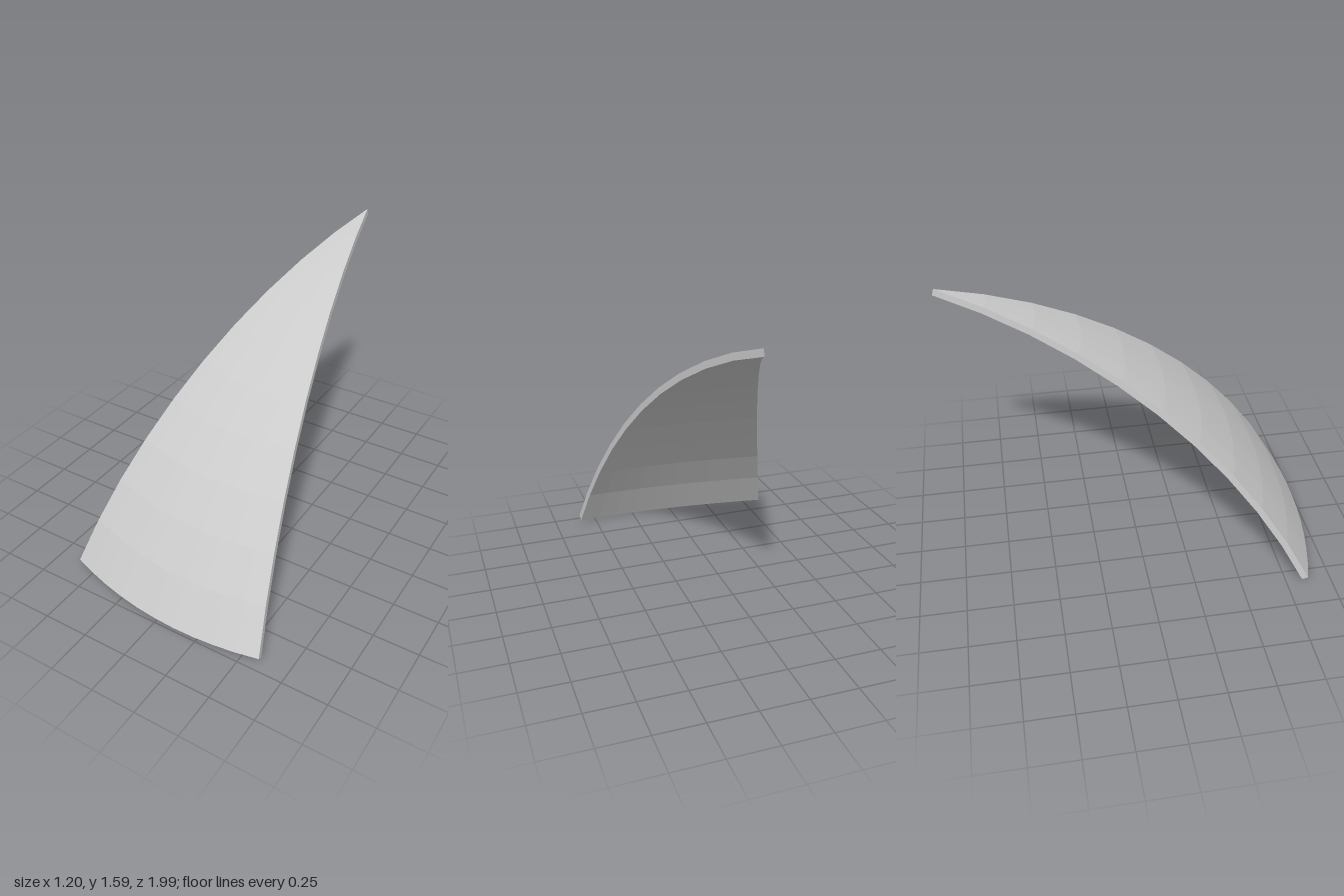
import * as THREE from 'three';

// Curved triangular shell: a wedge of a thick sphere, from its pole (the tip) to a latitude arc (the foot)
const RADIUS = 3.22, THICKNESS = 0.036;
const SWEEP = 0.808, HALF_WEDGE = 0.2617; // radians
const ROWS = 10, COLS = 10;

export function createModel() {
  const group = new THREE.Group();
  group.name = 'roofShell';

  // Sphere axes: pole towards the tip, side across the shell, down along its middle
  const tip = new THREE.Vector3(0.15, 1.6, -0.99);
  const pole = new THREE.Vector3(-0.021, 0.964, 0.264).normalize();
  const side = new THREE.Vector3(0.9969, 0, 0.0789).normalize();
  const down = side.clone().cross(pole).normalize();
  const centre = tip.clone().addScaledVector(pole, -RADIUS);

  const point = (r, i, j) => {
    const t = SWEEP * i / ROWS, a = HALF_WEDGE * (2 * j / COLS - 1);
    return centre.clone()
      .addScaledVector(pole, r * Math.cos(t))
      .addScaledVector(down, r * Math.sin(t) * Math.cos(a))
      .addScaledVector(side, r * Math.sin(t) * Math.sin(a));
  };
  const outer = (i, j) => point(RADIUS, i, j);
  const inner = (i, j) => point(RADIUS - THICKNESS, i, j);

  const positions = [];
  const tri = (...corners) => corners.forEach(v => positions.push(v.x, v.y, v.z));
  const quad = (a, b, c, d) => {
    tri(a, b, c);
    if (a.distanceTo(d) > 1e-6) tri(a, c, d);
  };

  for (let i = 0; i < ROWS; i++) {
    // Outer and inner faces
    for (let j = 0; j < COLS; j++) {
      quad(outer(i, j), outer(i + 1, j), outer(i + 1, j + 1), outer(i, j + 1));
      quad(inner(i, j + 1), inner(i + 1, j + 1), inner(i + 1, j), inner(i, j));
    }
    // Side edges
    quad(outer(i, 0), inner(i, 0), inner(i + 1, 0), outer(i + 1, 0));
    quad(outer(i + 1, COLS), inner(i + 1, COLS), inner(i, COLS), outer(i, COLS));
  }
  // Foot edge
  for (let j = 0; j < COLS; j++) {
    quad(outer(ROWS, j), inner(ROWS, j), inner(ROWS, j + 1), outer(ROWS, j + 1));
  }

  const geometry = new THREE.BufferGeometry();
  geometry.setAttribute('position', new THREE.Float32BufferAttribute(positions, 3));
  geometry.computeVertexNormals();

  // Stand on the ground, centred
  geometry.computeBoundingBox();
  const { min, max } = geometry.boundingBox;
  geometry.translate(-(min.x + max.x) / 2, -min.y, -(min.z + max.z) / 2);

  const shell = new THREE.Mesh(geometry, new THREE.MeshStandardMaterial({ color: 0xcccccc, flatShading: true }));
  shell.name = 'shell';
  group.add(shell);
  return group;
}
